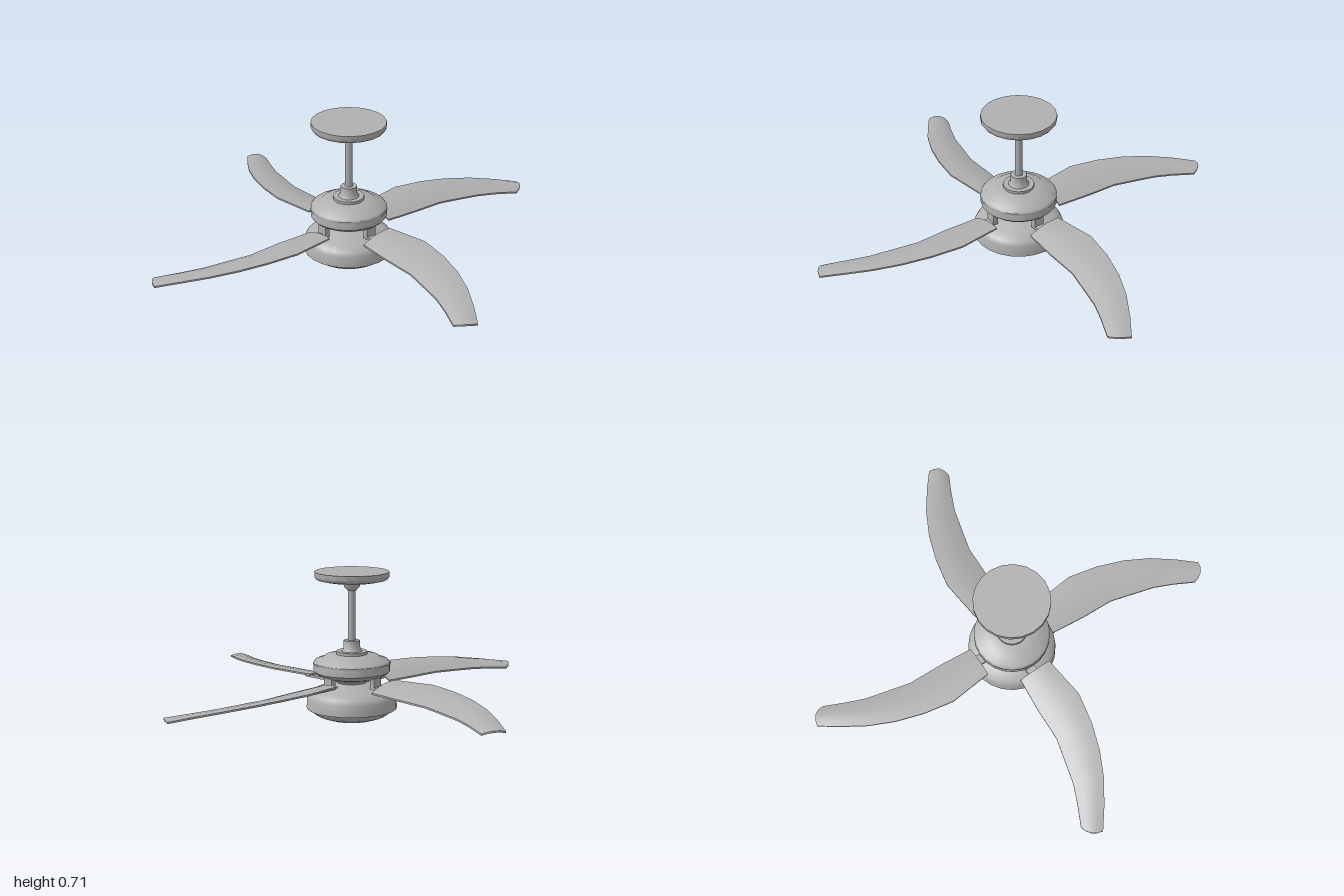
import * as THREE from 'three';
import { toCreasedNormals } from 'three/addons/utils/BufferGeometryUtils.js';

const metal = new THREE.MeshStandardMaterial({ color: 0xb0b0b0 });
metal.name = 'grey metal';

function add(parent, name, geometry) {
  const mesh = new THREE.Mesh(geometry, metal);
  mesh.name = name;
  parent.add(mesh);
  return mesh;
}

// Turned part from [radius, height] pairs, bottom to top
function turned(profile, sides = 24) {
  const g = new THREE.LatheGeometry(profile.map(([r, y]) => new THREE.Vector2(r, y)), sides);
  return toCreasedNormals(g, 0.7);
}

// Blade stations: leading x, z, y, then trailing x, z, y
const stations = [
  [0.19, -0.09, 0.203, 0.19, 0.07, 0.168],
  [0.40, -0.12, 0.207, 0.36, 0.08, 0.165],
  [0.55, -0.095, 0.201, 0.52, 0.08, 0.160],
  [0.68, -0.055, 0.192, 0.63, 0.105, 0.156],
  [0.80, 0.0, 0.180, 0.74, 0.13, 0.151],
  [0.91, 0.07, 0.164, 0.83, 0.165, 0.146],
  [1.0, 0.135, 0.147, 0.93, 0.21, 0.137],
];

// Swept, cambered blade pointing along +x
function bladeGeometry() {
  const pos = [], idx = [], n = 10, half = n / 2;
  stations.forEach(([lx, lz, ly, tx, tz, ty], i) => {
    const bulge = i === stations.length - 1 ? 0.02 : 0;
    for (let j = 0; j < n; j++) {
      const top = j < half;
      const t = (top ? j : n - 1 - j) / (half - 1);
      const arch = 4 * t * (1 - t);
      const y = ly + (ty - ly) * t + arch * 0.012 + (top ? 0.004 : -0.004);
      pos.push(lx + (tx - lx) * t + arch * bulge * 0.7, y, lz + (tz - lz) * t + arch * bulge * 0.7);
    }
  });
  const last = (stations.length - 1) * n;
  for (let i = 0; i < last; i += n) {
    for (let j = 0; j < n; j++) {
      const k = (j + 1) % n;
      idx.push(i + j, i + k, i + n + j, i + n + j, i + k, i + n + k);
    }
  }
  // root and tip ends
  for (let j = 0; j < half - 1; j++) {
    const a = j, b = j + 1, c = n - 2 - j, d = n - 1 - j;
    idx.push(a, c, b, a, d, c);
    idx.push(last + a, last + b, last + c, last + a, last + c, last + d);
  }
  const g = new THREE.BufferGeometry();
  g.setAttribute('position', new THREE.Float32BufferAttribute(pos, 3));
  g.setIndex(idx);
  return toCreasedNormals(g, 0.7);
}

export function createModel() {
  const fan = new THREE.Group();
  fan.name = 'ceilingFan';

  // Mount and down rod
  add(fan, 'canopy', turned([[0, 0.655], [0.05, 0.657], [0.13, 0.664], [0.165, 0.672],
    [0.175, 0.685], [0.175, 0.708], [0, 0.708]], 20));
  add(fan, 'hangerBall', turned([[0, 0.618], [0.022, 0.62], [0.036, 0.636], [0.04, 0.66]], 16));
  add(fan, 'downRod', new THREE.CylinderGeometry(0.018, 0.018, 0.3, 14).translate(0, 0.485, 0));
  add(fan, 'rodCollar', turned([[0.055, 0.325], [0.04, 0.345], [0.038, 0.384], [0.018, 0.384]], 18));

  // Motor
  add(fan, 'collarPlate', new THREE.CylinderGeometry(0.073, 0.073, 0.016, 20).translate(0, 0.325, 0));
  add(fan, 'motorHousing', turned([[0, 0.218], [0.15, 0.218], [0.165, 0.226], [0.18, 0.24],
    [0.18, 0.28], [0.172, 0.29], [0.14, 0.3], [0.125, 0.312], [0.07, 0.32], [0, 0.32]]));
  add(fan, 'motorBand', new THREE.CylinderGeometry(0.183, 0.183, 0.01, 24, 1, true).translate(0, 0.278, 0));
  add(fan, 'neck', turned([[0.06, 0.17], [0.075, 0.19], [0.105, 0.206], [0.11, 0.222]]));

  // Lower bowl and light cover
  add(fan, 'lowerBowl', turned([[0, 0.062], [0.213, 0.062], [0.211, 0.115], [0.2, 0.135],
    [0.165, 0.152], [0.11, 0.168], [0.07, 0.185], [0, 0.19]]));
  add(fan, 'lightCover', turned([[0, 0], [0.06, 0.003], [0.12, 0.014], [0.165, 0.03],
    [0.188, 0.047], [0.195, 0.064]]));

  // Four blades with their brackets
  const blade = bladeGeometry();
  for (let i = 0; i < 4; i++) {
    const arm = new THREE.Group();
    arm.name = 'bladeArm' + (i + 1);
    arm.rotation.y = (i * Math.PI) / 2;
    add(arm, 'blade', blade);
    add(arm, 'bracketPost', new THREE.BoxGeometry(0.025, 0.055, 0.05).translate(0.15, 0.2, 0));
    add(arm, 'bracketBar', new THREE.BoxGeometry(0.15, 0.012, 0.05).translate(0.212, 0.178, 0));
    fan.add(arm);
  }
  return fan;
}
